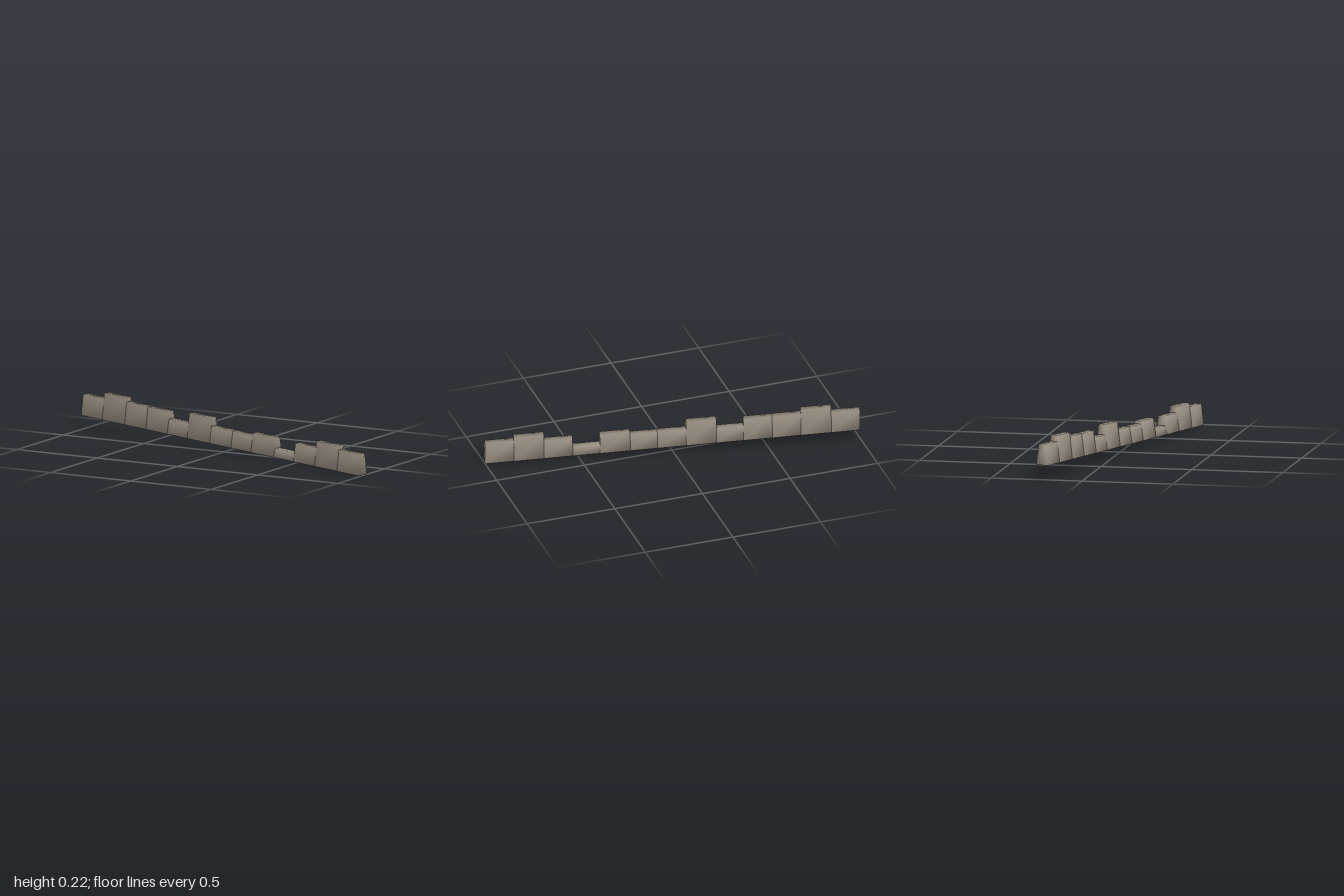
import * as THREE from 'three';
import { mergeVertices } from 'three/addons/utils/BufferGeometryUtils.js';

// Stone block: wide foot, narrow top, following the slope; corners share softened normals
function taperedBlock(length, height, footWidth, topWidth, drop) {
  const box = new THREE.BoxGeometry(1, 1, 1);
  box.deleteAttribute('normal');
  box.deleteAttribute('uv');
  const geo = mergeVertices(box);
  const p = geo.attributes.position;
  for (let i = 0; i < p.count; i++) {
    const along = p.getX(i);
    const up = p.getY(i) + 0.5;
    const width = up > 0.5 ? topWidth : footWidth;
    p.setXYZ(i, along * length, up * height - along * drop, p.getZ(i) * width);
  }
  geo.computeVertexNormals();
  return geo;
}

export function createModel() {
  const wall = new THREE.Group();
  wall.name = 'stoneWall';
  const stone = new THREE.MeshStandardMaterial({ color: 0x9a9184 });
  stone.name = 'weathered stone';

  // Heights of the blocks from the uphill end to the downhill end
  const heights = [0.114, 0.146, 0.123, 0.122, 0.082, 0.138, 0.092,
    0.091, 0.106, 0.047, 0.1, 0.137, 0.116];
  const angle = Math.atan2(0.222, 0.992);
  const total = 2 * Math.hypot(0.222, 0.992);
  const length = 0.164;
  const step = (total - length) / (heights.length - 1);
  const slope = 0.078 / total;

  // Blocks overlap slightly along a straight, sloping line
  heights.forEach((height, i) => {
    const s = -total / 2 + length / 2 + i * step;
    const block = new THREE.Mesh(
      taperedBlock(length, height, 0.07, 0.039, length * slope), stone);
    block.name = 'wallBlock' + (i + 1);
    block.position.set(s * Math.cos(angle), (total / 2 - s) * slope, s * Math.sin(angle));
    block.rotation.y = -angle;
    wall.add(block);
  });
  return wall;
}
